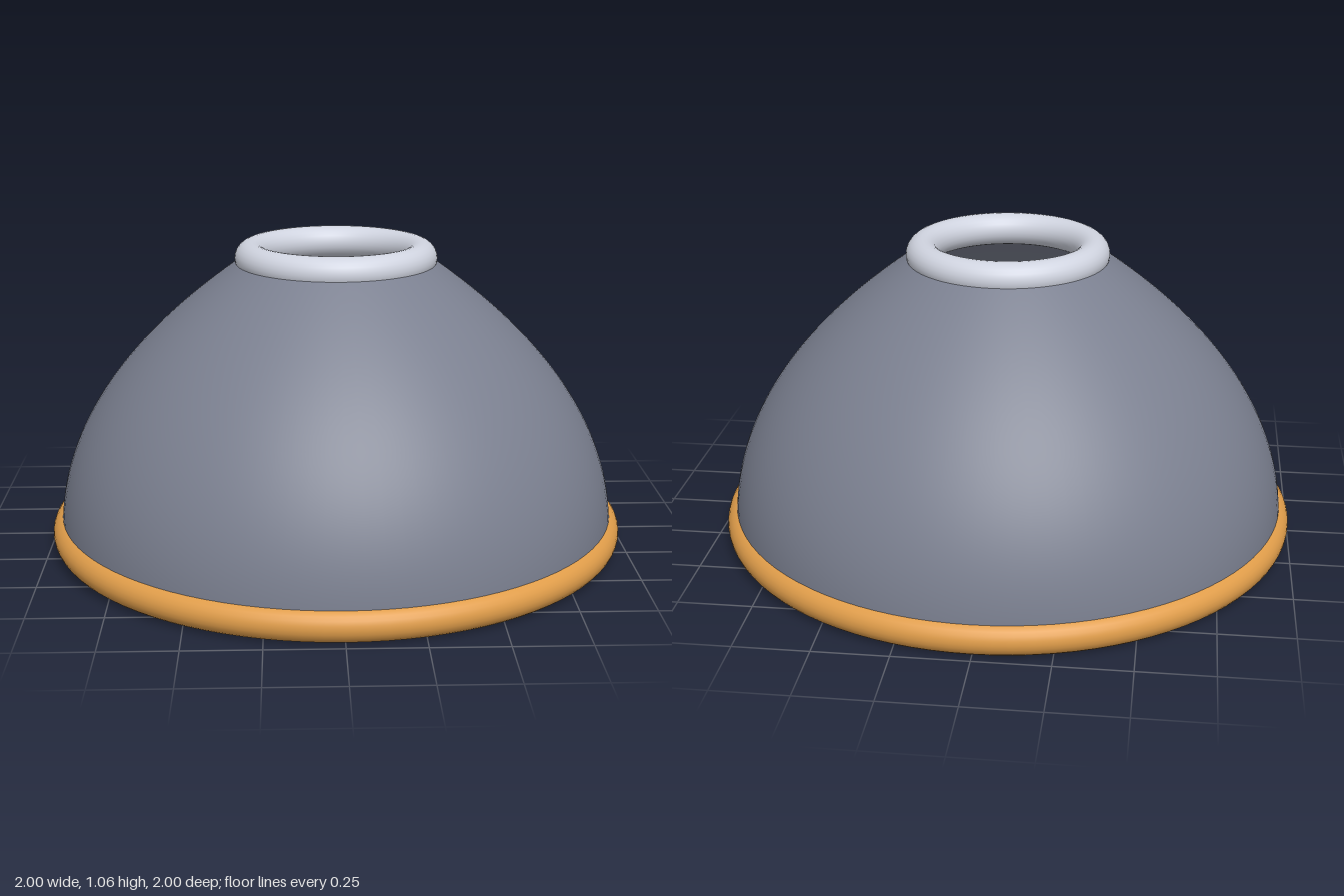
import * as THREE from 'three';

const SEGMENTS = 96;
const TUBE = 0.056;

function material(name, color, side = THREE.FrontSide) {
  const m = new THREE.MeshStandardMaterial({ color, side });
  m.name = name;
  return m;
}

// Horizontal round-section ring centred at height y
function ring(name, radius, y, mat) {
  const geometry = new THREE.TorusGeometry(radius, TUBE, 24, SEGMENTS);
  geometry.rotateX(Math.PI / 2);
  const mesh = new THREE.Mesh(geometry, mat);
  mesh.name = name;
  mesh.position.y = y;
  return mesh;
}

// Dome section from the wide foot, rising upright, then sloping in to the top
function domeCurve(footRadius, shoulderY, topRadius, topY) {
  return new THREE.QuadraticBezierCurve(
    new THREE.Vector2(footRadius, TUBE),
    new THREE.Vector2(footRadius, shoulderY),
    new THREE.Vector2(topRadius, topY)
  ).getPoints(40);
}

export function createModel() {
  const group = new THREE.Group();
  group.name = 'lampShade';

  // Dome wall: outer face up, inner face back down, ends buried in the rings
  const outer = domeCurve(0.967, 0.56, 0.29, 1.02);
  const inner = domeCurve(0.937, 0.54, 0.272, 0.993).reverse();
  const shade = new THREE.Mesh(
    new THREE.LatheGeometry([...outer, ...inner], SEGMENTS),
    material('slateGrey', 0x7b8090, THREE.DoubleSide)
  );
  shade.name = 'shade';
  group.add(shade);

  // Rolled bottom rim and top collar
  group.add(ring('bottomRim', 0.944, TUBE, material('amber', 0xe09d4a)));
  group.add(ring('topCollar', 0.2915, 1.0, material('paleGrey', 0xd0d4e0)));

  return group;
}
